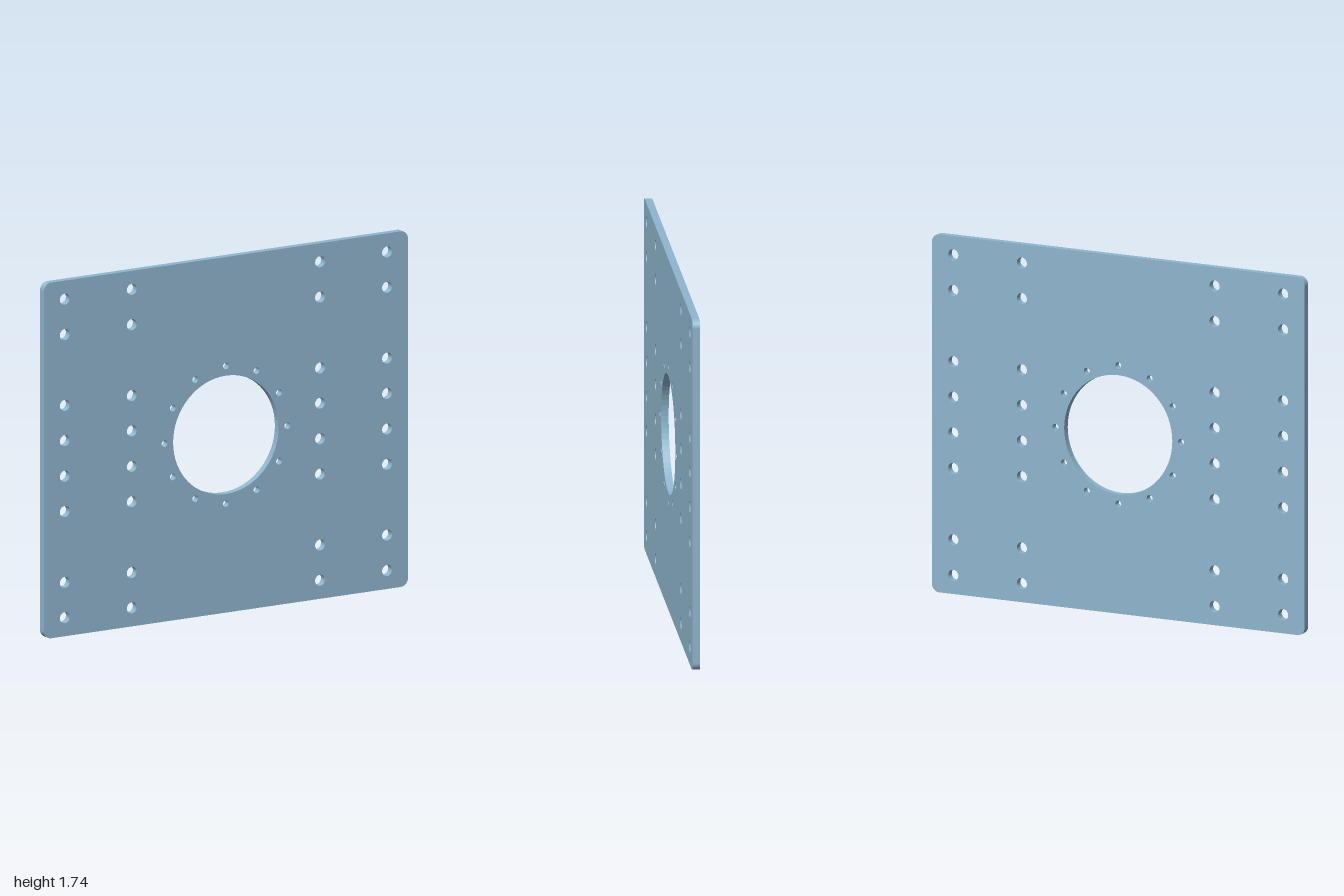
import * as THREE from 'three';

const WIDTH = 2, HEIGHT = 1.742, DEPTH = 0.036, CORNER = 0.04;

// Rounded rectangle centred on the origin
function plateOutline() {
  const x = WIDTH / 2, y = HEIGHT / 2, r = CORNER;
  const s = new THREE.Shape();
  s.moveTo(-x + r, -y);
  s.lineTo(x - r, -y);
  s.absarc(x - r, -y + r, r, -Math.PI / 2, 0, false);
  s.lineTo(x, y - r);
  s.absarc(x - r, y - r, r, 0, Math.PI / 2, false);
  s.lineTo(-x + r, y);
  s.absarc(-x + r, y - r, r, Math.PI / 2, Math.PI, false);
  s.lineTo(-x, -y + r);
  s.absarc(-x + r, -y + r, r, Math.PI, Math.PI * 1.5, false);
  return s;
}

export function createModel() {
  const group = new THREE.Group();
  group.name = 'mountingPlate';

  const shape = plateOutline();
  const drill = (x, y, r) =>
    shape.holes.push(new THREE.Path().absarc(x, y, r, 0, Math.PI * 2, true));

  // Central bore and its ring of twelve screw holes
  drill(0, 0, 0.29);
  for (let i = 0; i < 12; i++) {
    const a = (i * Math.PI) / 6;
    drill(0.337 * Math.cos(a), 0.337 * Math.sin(a), 0.016);
  }

  // Four mirrored columns of bolt holes
  for (const x of [0.517, 0.885])
    for (const y of [0.087, 0.26, 0.607, 0.78])
      for (const sx of [-1, 1])
        for (const sy of [-1, 1]) drill(sx * x, sy * y, 0.027);

  const geometry = new THREE.ExtrudeGeometry(shape, {
    depth: DEPTH, bevelEnabled: false, curveSegments: 32,
  });
  geometry.translate(0, HEIGHT / 2, -DEPTH / 2);

  const plate = new THREE.Mesh(geometry, new THREE.MeshStandardMaterial({ color: 0x8fb6ce }));
  plate.name = 'plate';
  group.add(plate);
  return group;
}
